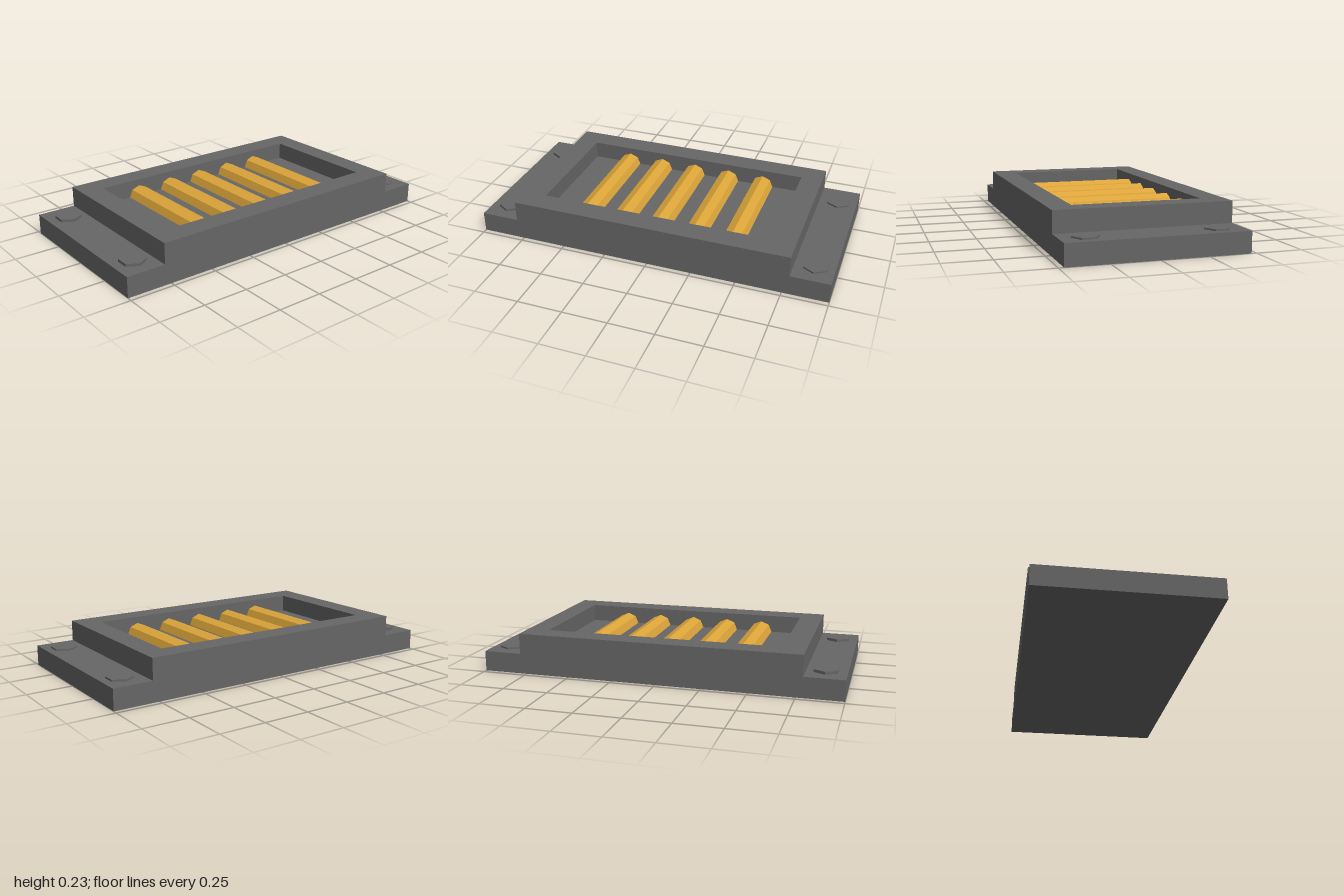
import * as THREE from 'three';

export function createModel() {
  const model = new THREE.Group();
  const grey = new THREE.MeshStandardMaterial({ name: 'darkGrey', color: 0x666666, flatShading: true });
  const gold = new THREE.MeshStandardMaterial({ name: 'gold', color: 0xdda53a, flatShading: true });

  const add = (name, geometry, material, x, y, z) => {
    const mesh = new THREE.Mesh(geometry, material);
    mesh.name = name;
    mesh.position.set(x, y, z);
    model.add(mesh);
    return mesh;
  };
  const rect = (path, x0, y0, x1, y1) =>
    path.moveTo(x0, y0).lineTo(x1, y0).lineTo(x1, y1).lineTo(x0, y1).closePath();

  const width = 0.946, baseTop = 0.113, top = 0.228, floorTop = 0.13;

  // Base slab, whose ends form the mounting flanges
  add('base', new THREE.BoxGeometry(width, baseTop, 2), grey, 0, baseTop / 2, 0);

  // Raised frame with a rectangular opening
  const outline = rect(new THREE.Shape(), -width / 2, -0.785, width / 2, 0.785);
  outline.holes.push(rect(new THREE.Path(), -0.347, -0.657, 0.345, 0.662));
  const frame = new THREE.ExtrudeGeometry(outline, { depth: top - baseTop, bevelEnabled: false });
  frame.rotateX(-Math.PI / 2);
  add('frame', frame, grey, 0, baseTop, 0);

  // Recessed floor inside the opening
  add('recessFloor', new THREE.BoxGeometry(0.692, floorTop - baseTop, 1.319), grey,
    -0.001, (floorTop + baseTop) / 2, -0.0025);

  // Eight-sided bars lying half sunk across the recess
  const bar = new THREE.CylinderGeometry(0.0635, 0.0635, 0.692, 8);
  bar.rotateZ(Math.PI / 2);
  for (let i = 0; i < 5; i++) {
    add('bar' + (i + 1), bar, gold, -0.001, 0.128, -0.43 + i * 0.2135);
  }

  // Hexagonal bolt heads on both flanges; the rear pair sits slightly lower
  const bolt = new THREE.CylinderGeometry(0.071, 0.071, 0.03, 6, 1, false, Math.PI / 6);
  for (const x of [-0.336, 0.341]) {
    add('frontBolt', bolt, grey, x, 0.113, 0.888);
    add('rearBolt', bolt, grey, x, 0.107, -0.895);
  }

  return model;
}
